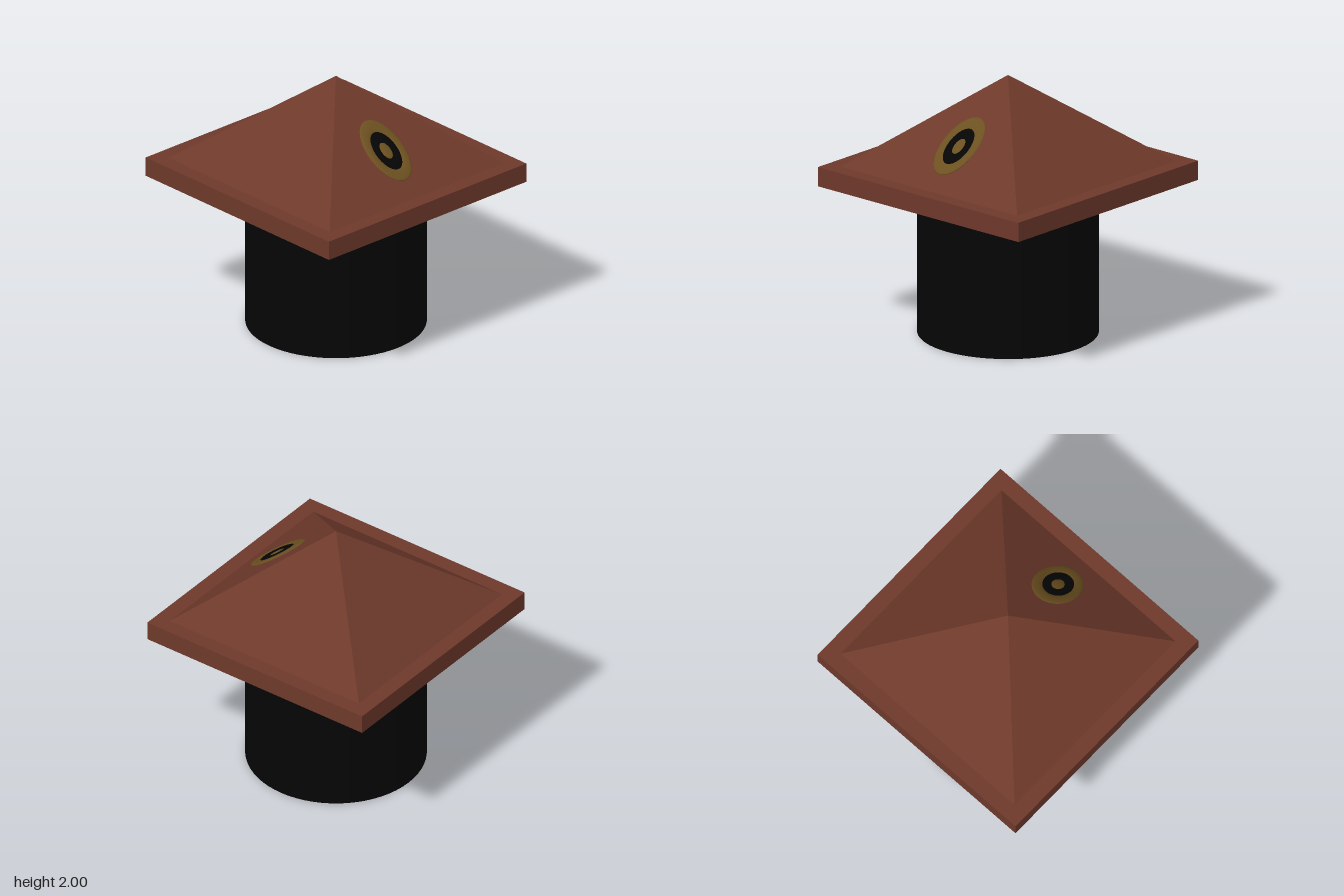
import * as THREE from 'three';

const material = (name, color) => {
  const m = new THREE.MeshStandardMaterial({ color });
  m.name = name;
  return m;
};

export function createModel() {
  const brown = material('roof brown', 0x6e392b);
  const black = material('black', 0x050505);
  const gold = material('dark gold', 0x6c5020);
  const model = new THREE.Group();
  const add = (name, geometry, mat, y = 0) => {
    const mesh = new THREE.Mesh(geometry, mat);
    mesh.name = name;
    mesh.position.y = y;
    model.add(mesh);
  };

  // round body and square eave
  add('body', new THREE.CylinderGeometry(0.675, 0.675, 1.16, 64), black, 0.58);
  add('eave', new THREE.BoxGeometry(2, 0.15, 2), brown, 1.23);

  // four-sided roof with crisp ridges
  const half = 0.88, base = 1.305, rise = 2 - base;
  const roof = new THREE.CylinderGeometry(0, half * Math.SQRT2, rise, 4, 1, true);
  roof.rotateY(Math.PI / 4);
  const flatRoof = roof.toNonIndexed();
  flatRoof.computeVertexNormals();
  add('roof', flatRoof, brown, base + rise / 2);

  // shallow rounded rings, sheared to lie along the +x roof slope
  const ringY = 1.575;
  const ring = (name, inner, outer, height, mat) => {
    const profile = [];
    for (let i = 0; i <= 12; i++) {
      const a = (i / 12) * Math.PI;
      const r = (inner + outer) / 2 + (Math.cos(a) * (outer - inner)) / 2;
      profile.push(new THREE.Vector2(Math.max(r, 0), height * Math.sin(a)));
    }
    const g = new THREE.LatheGeometry(profile, 48);
    g.rotateZ(-Math.PI / 2);
    const p = g.attributes.position;
    for (let i = 0; i < p.count; i++) {
      const slopeX = ((2 - ringY - p.getY(i)) * half) / rise;
      p.setX(i, p.getX(i) + slopeX + 0.003);
    }
    g.computeVertexNormals();
    add(name, g, mat, ringY);
  };
  ring('outerRing', 0.1, 0.17, 0.018, gold);
  ring('middleRing', 0.042, 0.108, 0.02, black);
  ring('centerButton', -0.048, 0.048, 0.018, gold);

  return model;
}
